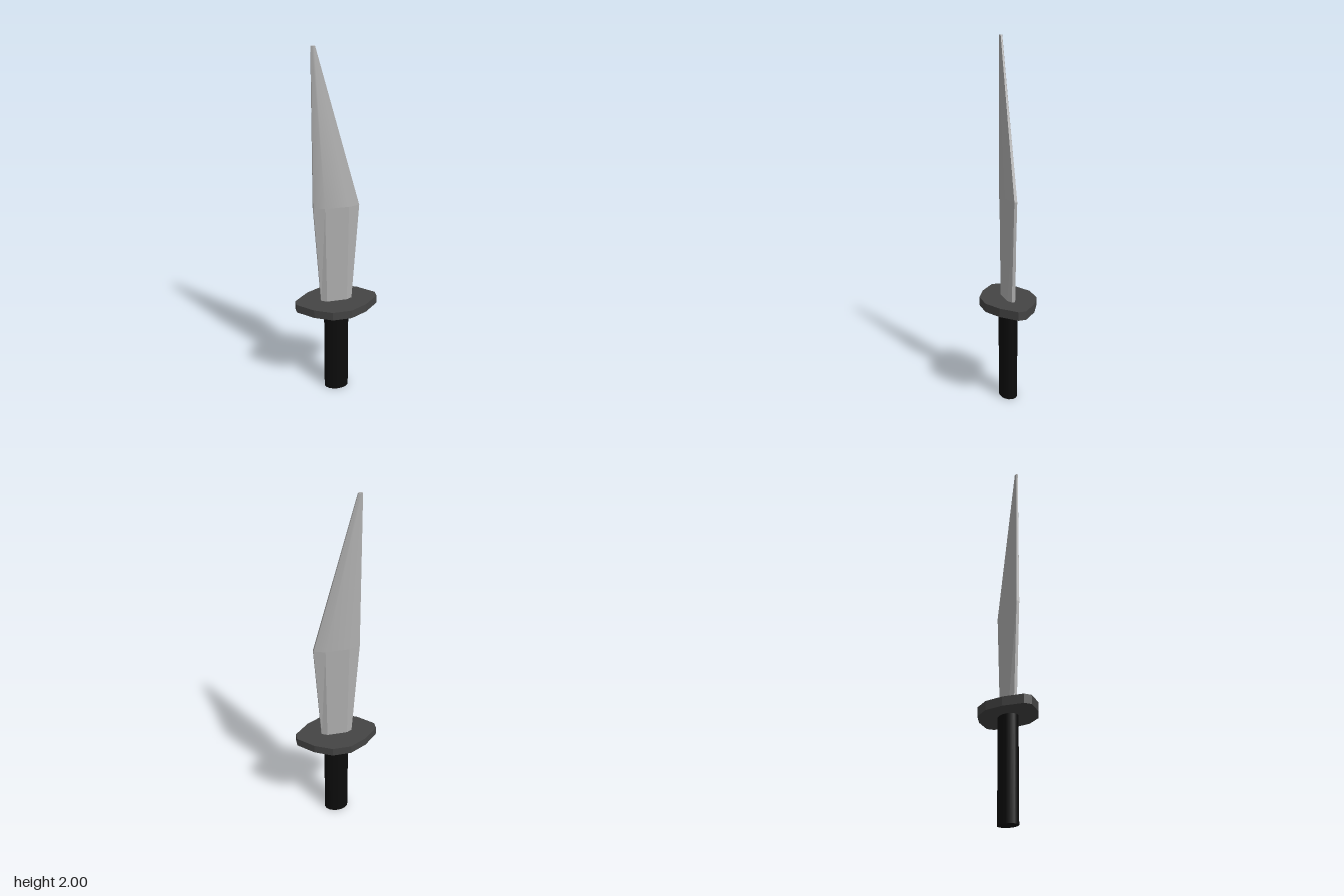
import * as THREE from 'three';
import { toCreasedNormals } from 'three/addons/utils/BufferGeometryUtils.js';

// Join matching rings of [x, y, z] points (counter-clockwise from above), listed bottom to top, and cap the ends.
function loft(rings, crease) {
  const n = rings[0].length, index = [];
  for (let r = 0; r < rings.length - 1; r++) {
    for (let i = 0; i < n; i++) {
      const a = r * n + i, b = r * n + (i + 1) % n;
      index.push(a, b, b + n, a, b + n, a + n);
    }
  }
  const top = (rings.length - 1) * n;
  for (let i = 1; i < n - 1; i++) {
    index.push(0, i + 1, i, top, top + i, top + i + 1);
  }
  const geometry = new THREE.BufferGeometry();
  geometry.setAttribute('position', new THREE.Float32BufferAttribute(rings.flat(2), 3));
  geometry.setIndex(index);
  return toCreasedNormals(geometry, crease);
}

// Eight-cornered bevelled blade section between x0 and x1.
function bladeRing(y, x0, x1, bevel, thick, edge) {
  return [
    [x1, y, edge], [x1, y, -edge], [x1 - bevel, y, -thick], [x0 + bevel, y, -thick],
    [x0, y, -edge], [x0, y, edge], [x0 + bevel, y, thick], [x1 - bevel, y, thick],
  ];
}

// Twelve-cornered guard outline, mirrored from one quarter.
function guardRing(y) {
  const quarter = [[0.231, 0.021], [0.148, 0.1], [0.053, 0.149]];
  const back = [...quarter, ...quarter.map(([x, z]) => [-x, z]).reverse()];
  return [...back.map(([x, z]) => [x, y, -z]), ...back.map(([x, z]) => [-x, y, z])];
}

export function createModel() {
  const steel = new THREE.MeshStandardMaterial({ color: 0xb0b0b0 });
  steel.name = 'steel';
  const darkMetal = new THREE.MeshStandardMaterial({ color: 0x444444 });
  darkMetal.name = 'dark metal';
  const blackGrip = new THREE.MeshStandardMaterial({ color: 0x0c0c0c });
  blackGrip.name = 'black grip';

  const group = new THREE.Group();
  const add = (name, geometry, material) => {
    const mesh = new THREE.Mesh(geometry, material);
    mesh.name = name;
    group.add(mesh);
    return mesh;
  };

  // Oval handle
  const handle = add('handle', new THREE.CylinderGeometry(1, 1, 0.55, 16), blackGrip);
  handle.scale.set(0.071, 1, 0.05);
  handle.position.y = 0.275;

  // Flat cross guard
  add('guard', loft([guardRing(0.545), guardRing(0.593)], 0.1), darkMetal);

  // Faceted lower blade and smoother slanted point
  const base = bladeRing(0.585, -0.088, 0.086, 0.03, 0.024, 0.008);
  const middle = bladeRing(1.16, -0.126, 0.124, 0.06, 0.025, 0.008);
  const tip = bladeRing(2, -0.126, -0.104, 0.005, 0.007, 0.004);
  add('lowerBlade', loft([base, middle], 0.1), steel);
  add('bladePoint', loft([middle, tip], 0.6), steel);

  return group;
}
